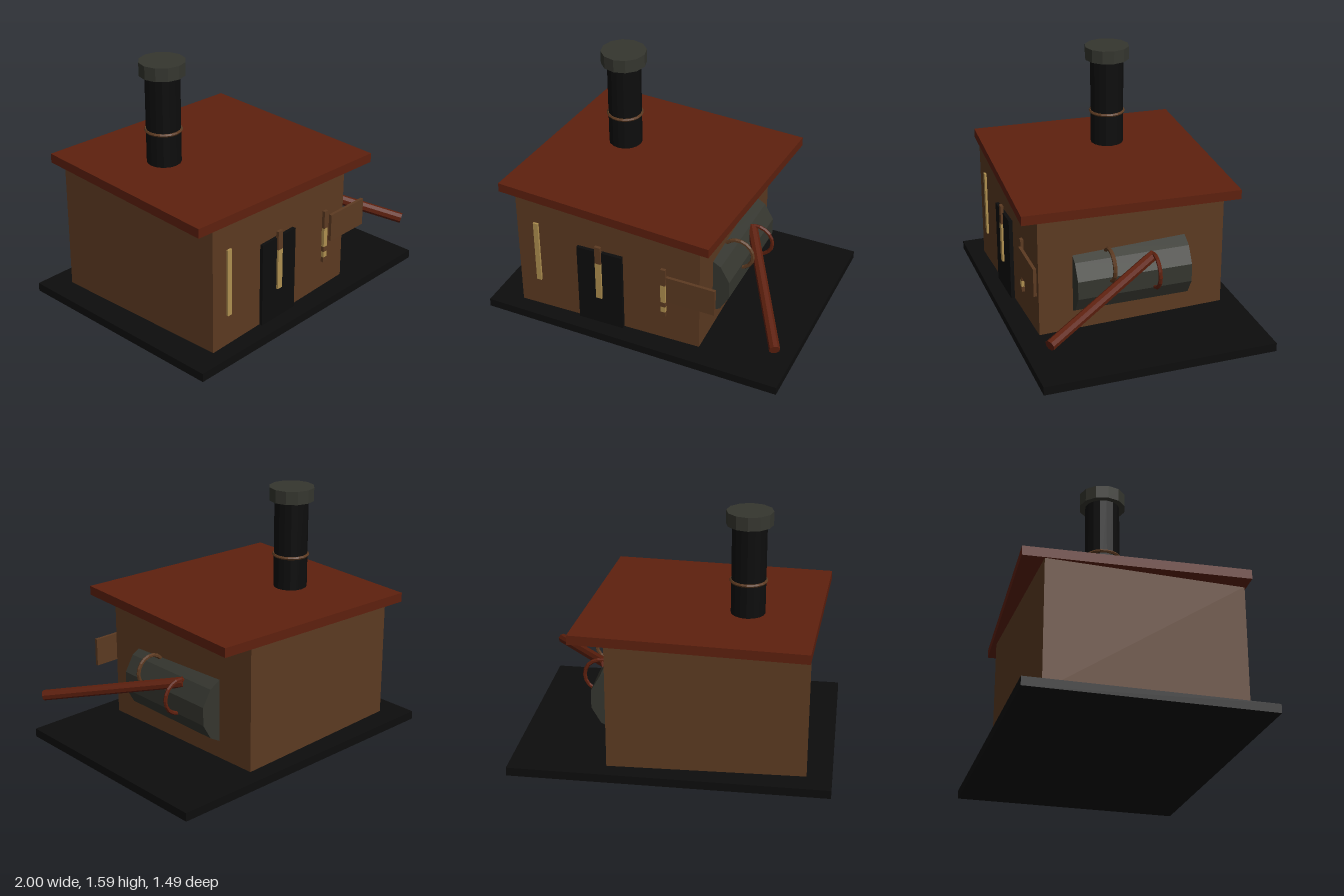
import * as THREE from 'three';

export function createModel() {
  const root = new THREE.Group();
  root.name = 'hut';
  const mat = (name, color) => {
    const m = new THREE.MeshStandardMaterial({ color, flatShading: true });
    m.name = name;
    return m;
  };
  const brown = mat('brown wood', 0x5c3a21);
  const red = mat('rust red', 0x5e200e);
  const black = mat('soot black', 0x0d0d0d);
  const grey = mat('iron grey', 0x35362f);
  const yellow = mat('pale straw', 0xb09050);

  const add = (name, geo, m, x, y, z, ry = 0) => {
    const mesh = new THREE.Mesh(geo, m);
    mesh.name = name;
    mesh.position.set(x, y, z);
    mesh.rotation.y = ry;
    root.add(mesh);
    return mesh;
  };
  const box = (w, h, d) => new THREE.BoxGeometry(w, h, d);

  // ground slab, walls and slightly crooked flat roof
  add('groundSlab', box(2, 0.055, 1.485), black, 0, 0.0275, -0.0025);
  add('walls', box(1.235, 0.825, 1.232), brown, -0.2075, 0.4625, 0, 0.032);
  add('roof', box(1.457, 0.06, 1.372), red, -0.155, 0.9, -0.005, -0.055);

  // chimney with collar and cap
  const cx = -0.427, cz = -0.143;
  add('chimney', new THREE.CylinderGeometry(0.108, 0.108, 0.65, 16), black, cx, 1.19, cz);
  const collar = add('chimneyCollar', new THREE.TorusGeometry(0.108, 0.011, 6, 20), brown, cx, 1.145, cz);
  collar.rotation.x = Math.PI / 2;
  add('chimneyCap', new THREE.CylinderGeometry(0.145, 0.145, 0.085, 12), grey, cx, 1.5475, cz);

  // door
  add('door', box(0.305, 0.555, 0.04), black, -0.2325, 0.3325, 0.62, 0.02);

  // upright slats on the front: [x, z, width, segments of bottom, top, material]
  const slats = [
    [-0.67, 0.635, 0.033, [[0.26, 0.7, yellow]]],
    [-0.235, 0.643, 0.04, [[0.26, 0.53, yellow], [0.53, 0.655, brown]]],
    [0.205, 0.635, 0.032, [[0.26, 0.295, brown], [0.295, 0.335, yellow],
      [0.335, 0.37, brown], [0.37, 0.5, yellow], [0.5, 0.62, brown]]],
  ];
  for (const [x, z, w, parts] of slats)
    for (const [y0, y1, m] of parts)
      add('frontSlat', box(w, y1 - y0, 0.02), m, x, (y0 + y1) / 2, z);

  // hanging sign board
  add('signBoard', box(0.32, 0.183, 0.02), brown, 0.395, 0.493, 0.652);

  // iron lumps under the front eave
  for (const [x, r] of [[-0.245, 0.025], [-0.105, 0.036], [-0.02, 0.032], [0.08, 0.03]])
    add('eaveLump', new THREE.IcosahedronGeometry(r, 0), grey, x, 0.87, 0.615);

  // tank sunk into the left wall
  const tank = new THREE.CylinderGeometry(0.23, 0.23, 0.745, 12);
  tank.rotateY(Math.PI / 12).rotateX(Math.PI / 2);
  add('sideTank', tank, grey, 0.31, 0.375, 0.0025);

  // rings on the tank
  add('frontRing', new THREE.TorusGeometry(0.1, 0.013, 6, 18), brown, 0.5, 0.505, 0.16);
  add('rearRing', new THREE.TorusGeometry(0.108, 0.013, 6, 18), red, 0.515, 0.425, -0.125);

  // slanted pole leaving the tank
  const a = new THREE.Vector3(0.48, 0.512, -0.13);
  const b = new THREE.Vector3(0.957, 0.298, 0.685);
  const dir = b.clone().sub(a);
  const mid = a.clone().add(b).multiplyScalar(0.5);
  const pole = add('slantedPole', new THREE.CylinderGeometry(0.034, 0.034, dir.length(), 8), red, mid.x, mid.y, mid.z);
  pole.quaternion.setFromUnitVectors(new THREE.Vector3(0, 1, 0), dir.normalize());

  return root;
}
